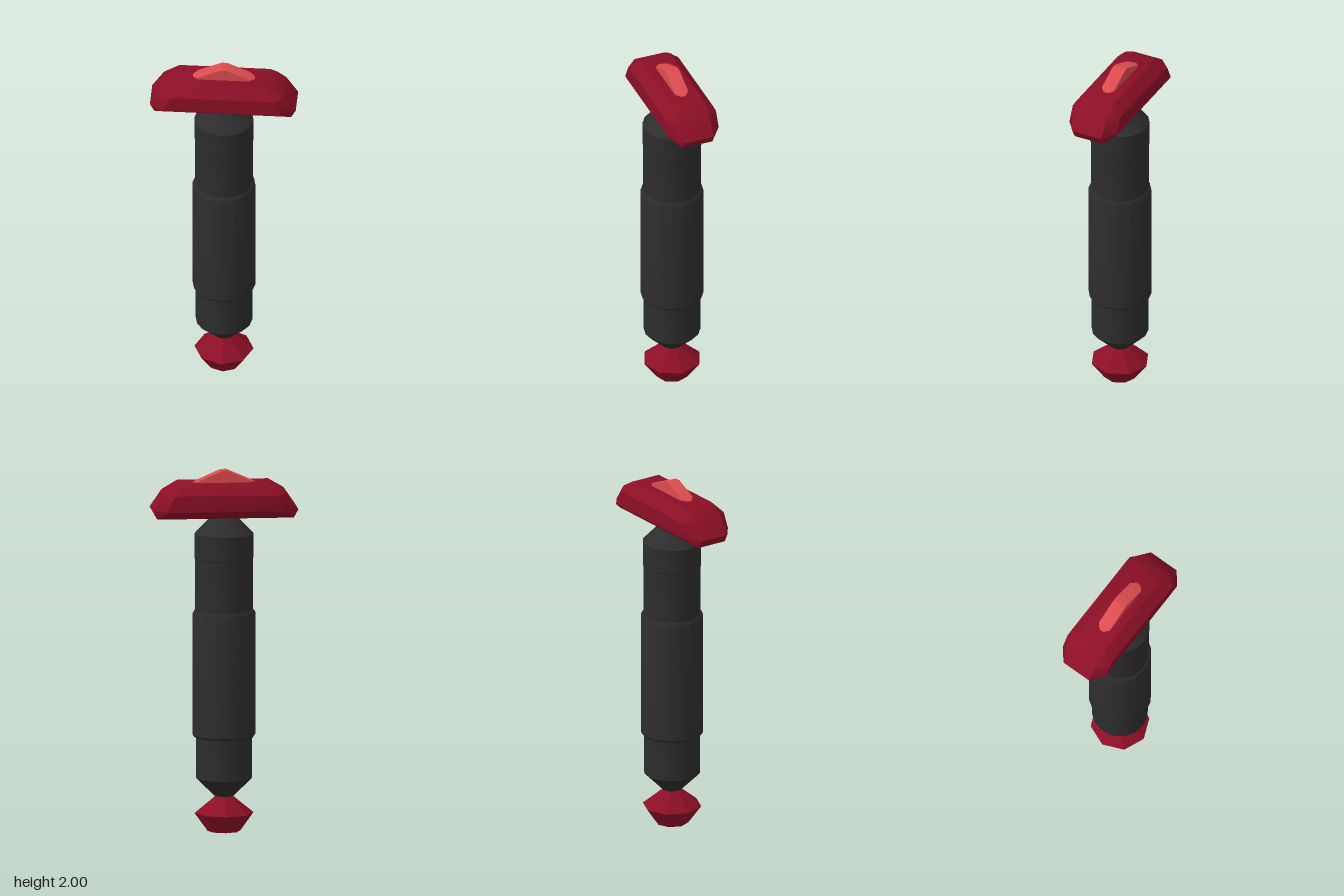
import * as THREE from 'three';
import { toCreasedNormals } from 'three/addons/utils/BufferGeometryUtils.js';

const CREASE = 0.5;

// Revolved part from [radius, y] pairs listed bottom to top
function turned(name, material, sides, profile) {
  const points = profile.map(([r, y]) => new THREE.Vector2(r, y));
  const geometry = toCreasedNormals(new THREE.LatheGeometry(points, sides), CREASE);
  const mesh = new THREE.Mesh(geometry, material);
  mesh.name = name;
  return mesh;
}

// Mirrors a right-hand outline (bottom to top) into a counterclockwise loop
function mirrorLoop(half) {
  return [...half, ...half.slice().reverse().map(([x, y]) => [-x, y])];
}

// Bevelled slab: outer outline at +-zOuter, smaller face outline at +-zFace
function bevelledSlab(name, material, outerHalf, faceHalf, zOuter, zFace) {
  const outer = mirrorLoop(outerHalf);
  const face = mirrorLoop(faceHalf);
  const n = outer.length;
  const rings = [[face, zFace], [outer, zOuter], [outer, -zOuter], [face, -zFace]];
  const positions = [];
  const index = [];
  for (const [loop, z] of rings) for (const [x, y] of loop) positions.push(x, y, z);
  for (let r = 0; r < rings.length - 1; r++) {
    for (let i = 0; i < n; i++) {
      const a = r * n + i;
      const b = r * n + (i + 1) % n;
      index.push(a, a + n, b, b, a + n, b + n);
    }
  }
  // Front and back faces
  const back = (rings.length - 1) * n;
  for (let i = 1; i < n - 1; i++) {
    index.push(0, i, i + 1);
    index.push(back, back + i + 1, back + i);
  }
  const geometry = new THREE.BufferGeometry();
  geometry.setAttribute('position', new THREE.Float32BufferAttribute(positions, 3));
  geometry.setIndex(index);
  const mesh = new THREE.Mesh(toCreasedNormals(geometry, 0.7), material);
  mesh.name = name;
  return mesh;
}

export function createModel() {
  const charcoal = new THREE.MeshStandardMaterial({ color: 0x2d2d2d });
  charcoal.name = 'charcoal';
  const crimson = new THREE.MeshStandardMaterial({ color: 0x8c0f26 });
  crimson.name = 'crimson';
  const coral = new THREE.MeshStandardMaterial({ color: 0xdc4c4f });
  coral.name = 'coral';

  const model = new THREE.Group();
  model.name = 'hammerStaff';

  // Faceted foot
  model.add(turned('pommel', crimson, 8, [
    [0, 0], [0.09, 0], [0.162, 0.1], [0.04, 0.2], [0, 0.2],
  ]));

  // Lower shaft with tapered end
  model.add(turned('lowerShaft', charcoal, 16, [
    [0, 0.195], [0.053, 0.195], [0.155, 0.295], [0.155, 0.54],
  ]));

  // Thicker grip with chamfered rims
  model.add(turned('grip', charcoal, 16, [
    [0, 0.522], [0.163, 0.522], [0.172, 0.536],
    [0.172, 1.21], [0.164, 1.225], [0, 1.225],
  ]));

  // Upper shaft tapering into the head
  model.add(turned('upperShaft', charcoal, 16, [
    [0.159, 1.2], [0.159, 1.51], [0.162, 1.515], [0.162, 1.65],
    [0.045, 1.77], [0, 1.77],
  ]));

  // Wide bevelled head
  model.add(bevelledSlab('head', crimson,
    [[0.375, 1.745], [0.4, 1.79], [0.335, 1.885], [0.25, 1.935]],
    [[0.323, 1.79], [0.325, 1.796], [0.285, 1.875], [0.25, 1.88]],
    0.088, 0.145));

  // Ridge on top of the head, with pointed ends
  model.add(bevelledSlab('crest', coral,
    [[0.17, 1.925], [0.17, 1.935], [0.015, 2.0]],
    [[0.142, 1.925], [0.142, 1.945], [0.015, 2.0]],
    0.013, 0.038));

  return model;
}
